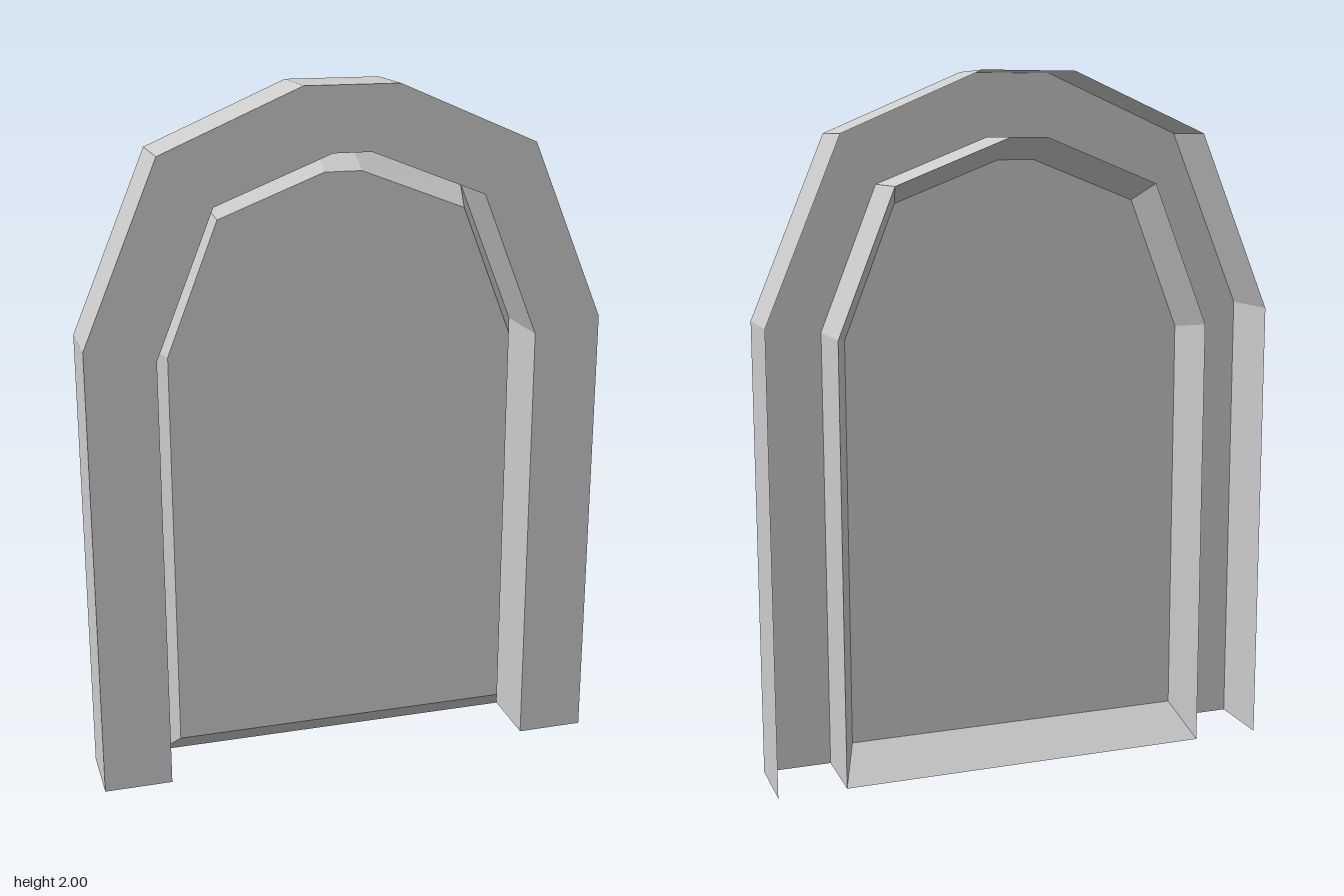
import * as THREE from 'three';

const FRONT = 0.1, BACK = -0.1, PANEL = 0.01;

// Right half of each arch, from the foot up to the crown.
const OUTER = [[0.7475, 0], [0.7475, 1.32], [0.533, 1.83], [0.135, 2]];
const INNER = [[0.55, 0], [0.55, 1.28], [0.385, 1.69], [0.054, 1.82]];
const FIELD = [[0.505, 0.09], [0.505, 1.265], [0.357, 1.64], [0.054, 1.757]];

// Mirrors a half arch into a full one, right foot to left foot, at depth z.
function arch(half, z) {
  const left = [...half].reverse().map(([x, y]) => [-x, y]);
  return [...half, ...left].map(([x, y]) => [x, y, z]);
}

// Flat-faced strip between two matching outlines.
function strip(a, b, closed = false) {
  const points = [];
  const count = closed ? a.length : a.length - 1;
  for (let i = 0; i < count; i++) {
    const j = (i + 1) % a.length;
    points.push(...a[i], ...a[j], ...b[j], ...a[i], ...b[j], ...b[i]);
  }
  const geometry = new THREE.BufferGeometry();
  geometry.setAttribute('position', new THREE.Float32BufferAttribute(points, 3));
  geometry.computeVertexNormals();
  return geometry;
}

export function createModel() {
  const model = new THREE.Group();
  model.name = 'archedDoorway';
  const material = new THREE.MeshStandardMaterial({
    color: 0xcccccc, flatShading: true, side: THREE.DoubleSide,
  });
  const add = (name, geometry) => {
    const mesh = new THREE.Mesh(geometry, material);
    mesh.name = name;
    model.add(mesh);
    return mesh;
  };

  // Hollow frame, open at the back and underneath.
  add('frameOuterWall', strip(arch(OUTER, BACK), arch(OUTER, FRONT)));
  add('frameFace', strip(arch(OUTER, FRONT), arch(INNER, FRONT)));
  add('frameJamb', strip(arch(INNER, FRONT), arch(INNER, BACK)));

  // Raised door panel with bevelled edges rising from the back of the jamb.
  add('panelBevel', strip(arch(INNER, BACK), arch(FIELD, PANEL), true));
  const outline = arch(FIELD, 0).map(([x, y]) => new THREE.Vector2(x, y));
  add('panelField', new THREE.ShapeGeometry(new THREE.Shape(outline))).position.z = PANEL;

  // The doorway stands slightly turned.
  model.rotation.y = -0.027;
  return model;
}
